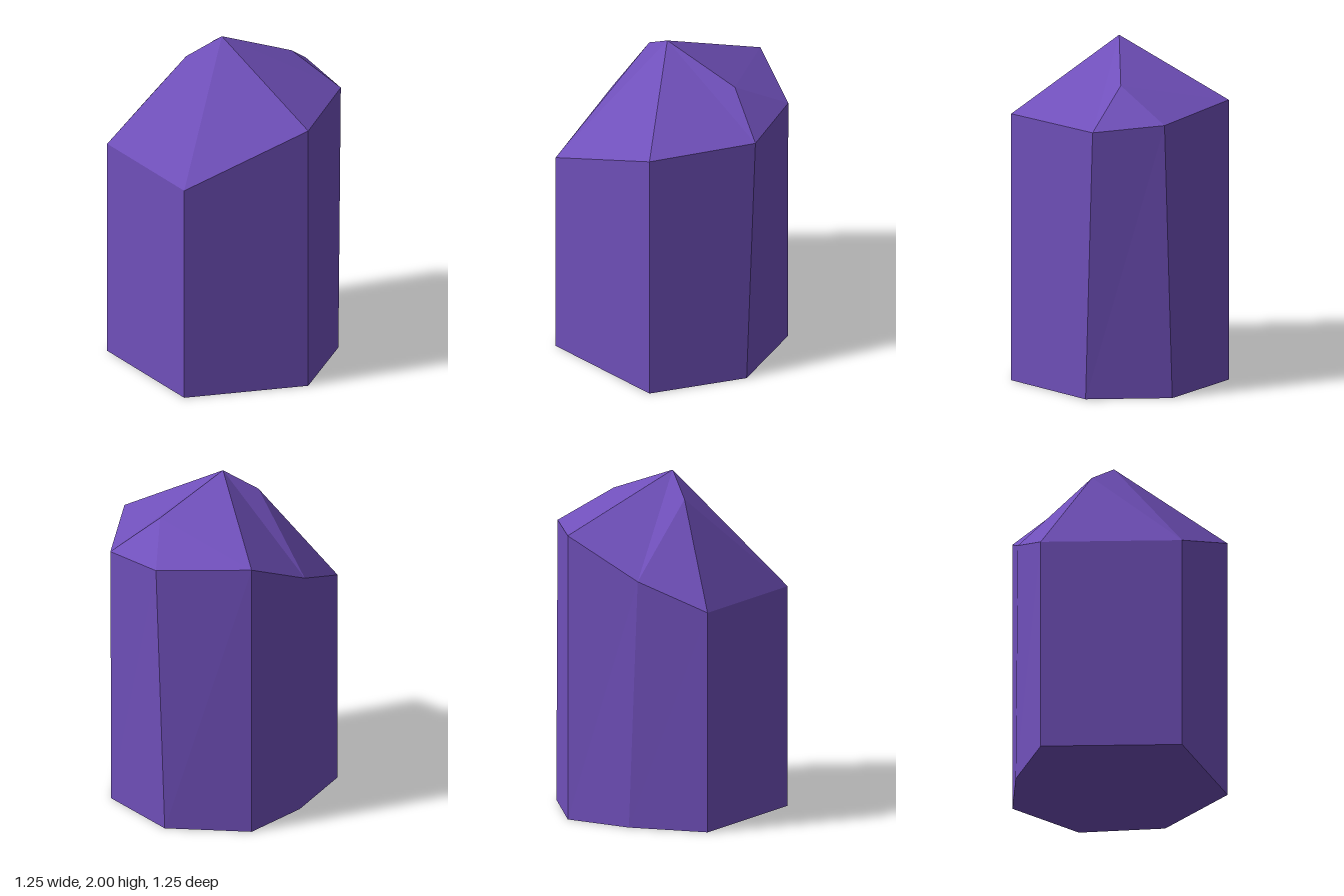
import * as THREE from 'three';

// Crystal outline, clockwise seen from above: [base x, base z, shoulder x, shoulder y, shoulder z]
const ring = [
  [-0.63, -0.34, -0.63, 1.30, -0.34],
  [-0.21, -0.55, -0.26, 1.46, -0.53],
  [0.19, -0.63, 0.19, 1.68, -0.63],
  [0.57, -0.30, 0.60, 1.645, -0.255],
  [0.59, 0.20, 0.625, 1.61, 0.16],
  [0.19, 0.625, 0.19, 1.60, 0.625],
  [-0.53, 0.47, -0.53, 1.30, 0.47],
];

export function createModel() {
  const base = ring.map(([x, z]) => [x, 0, z]);
  const rim = ring.map(([, , x, y, z]) => [x, y, z]);
  const apex = [-0.06, 2, 0];
  const rightPeak = [0.39, 1.825, -0.005];
  const leftPeak = [-0.24, 1.87, -0.1];
  const positions = [];
  const tri = (a, b, c) => positions.push(...a, ...b, ...c);

  // Side facets and underside
  for (let i = 0; i < ring.length; i++) {
    const j = (i + 1) % ring.length;
    tri(base[j], base[i], rim[i]);
    tri(base[j], rim[i], rim[j]);
    tri([0, 0, 0], base[i], base[j]);
  }

  // Faceted tip: each peak fans over its own stretch of the rim
  const fan = (peak, points) => {
    for (let i = 0; i + 1 < points.length; i++) tri(peak, points[i + 1], points[i]);
  };
  const [a, b, c, d, e, f, g] = rim;
  fan(apex, [leftPeak, b, c, rightPeak, e, f, g, leftPeak]);
  fan(rightPeak, [c, d, e]);
  fan(leftPeak, [g, a, b]);

  const geometry = new THREE.BufferGeometry();
  geometry.setAttribute('position', new THREE.Float32BufferAttribute(positions, 3));
  geometry.computeVertexNormals();

  const crystal = new THREE.Mesh(
    geometry,
    new THREE.MeshStandardMaterial({ color: 0x7050bb, flatShading: true })
  );
  crystal.name = 'crystal';
  const group = new THREE.Group();
  group.name = 'crystalShard';
  group.add(crystal);
  return group;
}
